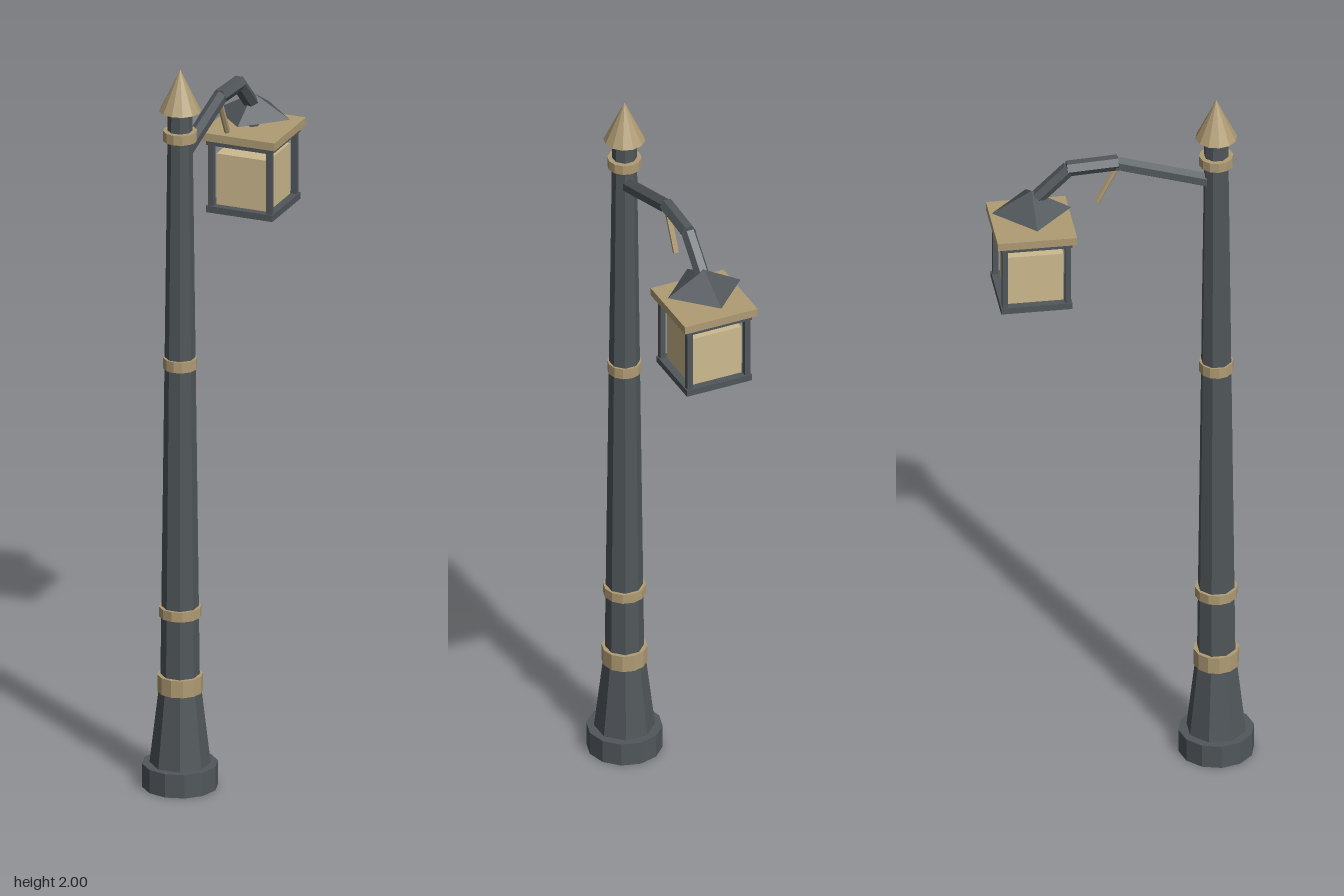
import * as THREE from 'three';

const POST_Z = 0.245;
const LAMP_Z = -0.243;

export function createModel() {
  const group = new THREE.Group();
  const iron = new THREE.MeshStandardMaterial({ color: 0x51575b, flatShading: true });
  iron.name = 'dark iron';
  const brass = new THREE.MeshStandardMaterial({ color: 0xb09c74, flatShading: true });
  brass.name = 'dull brass';
  const glass = new THREE.MeshStandardMaterial({ color: 0xcdba8e, flatShading: true });
  glass.name = 'warm glass';

  const add = (name, geometry, material, x = 0, y = 0, z = 0) => {
    const mesh = new THREE.Mesh(geometry, material);
    mesh.name = name;
    mesh.position.set(x, y, z);
    group.add(mesh);
    return mesh;
  };

  // Upright tapered section of the post, from y0 to y1
  const section = (name, y0, y1, r0, r1, sides, material) => {
    const geometry = new THREE.CylinderGeometry(r1, r0, y1 - y0, sides);
    if (sides === 8) geometry.rotateY(Math.PI / 8);
    return add(name, geometry, material, 0, (y0 + y1) / 2, POST_Z);
  };

  // Rod between two [y, z] points in the middle plane
  const rod = (name, a, b, radius, turn, material) => {
    const from = new THREE.Vector3(0, ...a);
    const to = new THREE.Vector3(0, ...b);
    const geometry = new THREE.CylinderGeometry(radius, radius, from.distanceTo(to), 6);
    geometry.rotateY(turn);
    const mesh = add(name, geometry, material);
    mesh.position.copy(from).add(to).multiplyScalar(0.5);
    mesh.quaternion.setFromUnitVectors(new THREE.Vector3(0, 1, 0), to.sub(from).normalize());
  };

  // Square slab of the lantern, from y0 to y1
  const slab = (name, y0, y1, half, material) =>
    add(name, new THREE.BoxGeometry(half * 2, y1 - y0, half * 2), material, 0, (y0 + y1) / 2, LAMP_Z);

  // Post
  section('base', 0, 0.065, 0.1, 0.1, 12, iron);
  section('plinth', 0.065, 0.27, 0.08, 0.056, 8, iron);
  section('shaft', 0.27, 1.89, 0.052, 0.032, 8, iron);
  section('plinthCollar', 0.265, 0.312, 0.06, 0.06, 12, brass);
  section('lowerRing', 0.475, 0.502, 0.056, 0.056, 12, brass);
  section('middleRing', 1.167, 1.197, 0.045, 0.045, 12, brass);
  section('upperRing', 1.803, 1.83, 0.045, 0.045, 12, brass);
  add('finial', new THREE.ConeGeometry(0.055, 0.115, 12), brass, 0, 1.9425, POST_Z);

  // Bent arm and its small hanging lever
  rod('armRise', [1.755, 0.225], [1.83, -0.02], 0.02, 0, iron);
  rod('armTop', [1.832, -0.015], [1.825, -0.15], 0.021, Math.PI / 6, iron);
  rod('armDrop', [1.825, -0.145], [1.73, -0.243], 0.02, Math.PI / 6, iron);
  rod('lampStem', [1.735, LAMP_Z], [1.67, LAMP_Z], 0.016, 0, iron);
  rod('lever', [1.825, -0.015], [1.717, -0.07], 0.008, 0, brass);

  // Lantern
  add('lampRoof', new THREE.ConeGeometry(0.105, 0.06, 4), iron, 0, 1.735, LAMP_Z);
  slab('lampLid', 1.653, 1.675, 0.105, brass);
  slab('topFrame', 1.638, 1.653, 0.094, iron);
  slab('bottomFrame', 1.45, 1.468, 0.094, iron);
  slab('glassBox', 1.468, 1.61, 0.073, glass);
  for (const sx of [-1, 1]) {
    for (const sz of [-1, 1]) {
      add('cornerBar', new THREE.BoxGeometry(0.015, 0.17, 0.015), iron,
        sx * 0.083, 1.553, LAMP_Z + sz * 0.083);
    }
  }

  return group;
}
